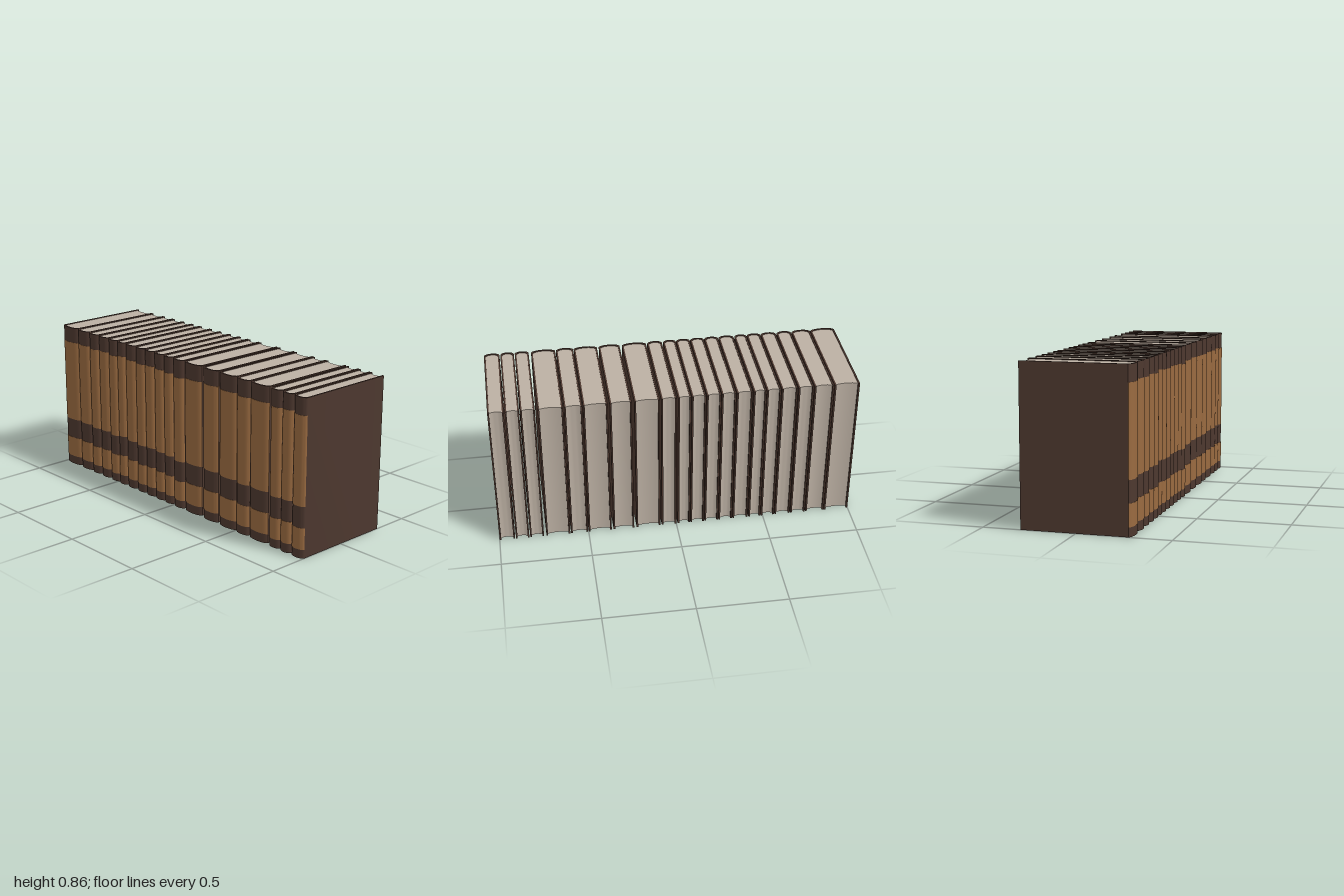
import * as THREE from 'three';
import { toCreasedNormals } from 'three/addons/utils/BufferGeometryUtils.js';

const HEIGHT = 0.86, BACK = -0.295, CORNER = 0.275, BULGE = 0.0265, BOARD = 0.009;

// Left and right edge of every volume along the row
const EDGES = [
  [-1, -0.861], [-0.858, -0.751], [-0.747, -0.663], [-0.658, -0.571], [-0.567, -0.49],
  [-0.487, -0.418], [-0.412, -0.326], [-0.322, -0.244], [-0.241, -0.163], [-0.159, -0.082],
  [-0.079, -0.008], [0, 0.083], [0.091, 0.227], [0.241, 0.358], [0.369, 0.499],
  [0.503, 0.599], [0.604, 0.738], [0.752, 0.829], [0.834, 0.909], [0.914, 1],
];
// Small vertical shift of the painted bands on each spine
const SHIFT = [0, 0.003, -0.002, 0.003, -0.003, 0.008, 0.001, -0.003, 0.003, 0,
  -0.003, -0.012, 0, 0.003, 0, -0.003, 0.002, -0.003, 0.003, -0.003];

// Points along the rounded spine, from -x to +x
function spineCurve(half, inset) {
  const h = half - inset, z = CORNER - inset;
  return new THREE.CubicBezierCurve(
    new THREE.Vector2(-h, z), new THREE.Vector2(-h * 0.8, z + BULGE),
    new THREE.Vector2(h * 0.8, z + BULGE), new THREE.Vector2(h, z)).getPoints(14);
}

// Extrude an outline given as (x, z) from y0 up to y1
function upright(outline, y0, y1) {
  const shape = new THREE.Shape(outline.map((p) => new THREE.Vector2(p.x, -p.y)));
  const geometry = new THREE.ExtrudeGeometry(shape, { depth: y1 - y0, bevelEnabled: false });
  geometry.rotateX(-Math.PI / 2).translate(0, y0, 0);
  return toCreasedNormals(geometry, 0.5);
}

export function createModel() {
  const leather = new THREE.MeshStandardMaterial({ color: 0x4d382f });
  const tan = new THREE.MeshStandardMaterial({ color: 0x996a40 });
  const paper = new THREE.MeshStandardMaterial({ color: 0xbcb0a3 });
  leather.name = 'dark leather';
  tan.name = 'tan leather';
  paper.name = 'paper';

  const model = new THREE.Group();
  model.name = 'rowOfBooks';

  EDGES.forEach(([left, right], i) => {
    const half = (right - left) / 2, inner = half - BOARD;
    const book = new THREE.Group();
    book.name = `book${i + 1}`;
    book.position.x = (left + right) / 2;
    const add = (name, geometry, material) => {
      const mesh = new THREE.Mesh(geometry, material);
      mesh.name = name;
      book.add(mesh);
    };
    const outer = spineCurve(half, 0), inside = spineCurve(half, BOARD);

    // U-shaped cover: two boards joined by the rounded spine
    add('cover', upright([
      new THREE.Vector2(-half, BACK), ...outer, new THREE.Vector2(half, BACK),
      new THREE.Vector2(inner, BACK), ...inside.slice().reverse(), new THREE.Vector2(-inner, BACK),
    ], 0, HEIGHT), leather);

    // Page block with a hollowed fore edge
    const foreEdge = new THREE.QuadraticBezierCurve(
      new THREE.Vector2(inner, -0.284), new THREE.Vector2(0, -0.268),
      new THREE.Vector2(-inner, -0.284)).getPoints(8);
    add('pages', upright([...inside, ...foreEdge], 0.004, HEIGHT - 0.004), paper);

    // Tan panels laid over the spine
    const skin = outer.map((p) => new THREE.Vector2(p.x, p.y + 0.0015));
    const plate = [...skin, ...outer.slice().reverse()];
    const s = SHIFT[i];
    add('lowerSpinePanel', upright(plate, 0.05 + s * 0.5, 0.17 + s), tan);
    add('upperSpinePanel', upright(plate, 0.287 + s, 0.77 + s), tan);

    model.add(book);
  });
  return model;
}
